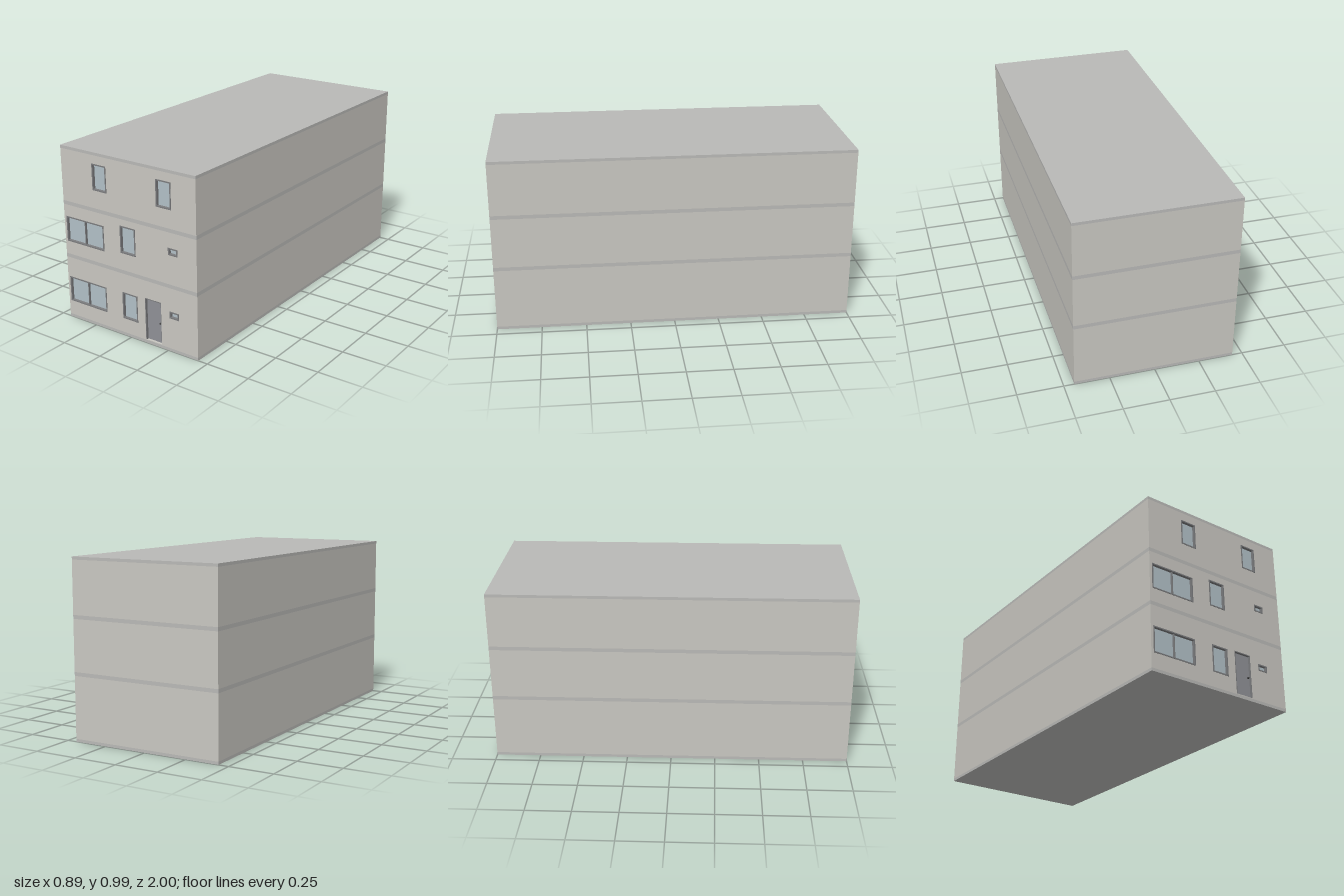
import * as THREE from 'three';

const HALF_W = 0.443, FRONT = 1, FACADE = 0.016;
const mat = (color) => new THREE.MeshStandardMaterial({ color });
const wallMat = mat(0xc9c7c1), slabMat = mat(0xb9b9b7), frameMat = mat(0x7c7d7f);
const glassMat = mat(0xb2c0c7), doorMat = mat(0x8f9196), handleMat = mat(0x444444);

// Box given by its minimum and maximum corners
function block(name, material, x0, x1, y0, y1, z0, z1) {
  const mesh = new THREE.Mesh(new THREE.BoxGeometry(x1 - x0, y1 - y0, z1 - z0), material);
  mesh.position.set((x0 + x1) / 2, (y0 + y1) / 2, (z0 + z1) / 2);
  mesh.name = name;
  return mesh;
}

function rectangle(Type, x0, x1, y0, y1) {
  return new Type([[x0, y0], [x1, y0], [x1, y1], [x0, y1]].map(([x, y]) => new THREE.Vector2(x, y)));
}

// Rectangular plate with rectangular holes, extruded from z0 to z1
function plate(name, material, outer, holes, z0, z1) {
  const shape = rectangle(THREE.Shape, ...outer);
  shape.holes = holes.map((hole) => rectangle(THREE.Path, ...hole));
  const geometry = new THREE.ExtrudeGeometry(shape, { depth: z1 - z0, bevelEnabled: false });
  const mesh = new THREE.Mesh(geometry, material);
  mesh.position.z = z0;
  mesh.name = name;
  return mesh;
}

// Slim frame around recessed glass, with a mullion between panes
function createWindow([x0, x1, y0, y1], panes) {
  const group = new THREE.Group();
  const t = 0.007, back = FRONT - FACADE;
  group.name = 'window';
  group.add(plate('windowFrame', frameMat, [x0, x1, y0, y1],
    [[x0 + t, x1 - t, y0 + t, y1 - t]], back, FRONT + 0.002));
  group.add(block('windowGlass', glassMat, x0 + t, x1 - t, y0 + t, y1 - t, back, back + 0.003));
  for (let i = 1; i < panes; i++) {
    const x = x0 + (x1 - x0) * i / panes;
    group.add(block('mullion', frameMat, x - 0.002, x + 0.002, y0 + t, y1 - t, back, FRONT));
  }
  return group;
}

// Door leaf set back in its opening, with side and top trim and a handle
function createDoor([x0, x1, y0, y1]) {
  const group = new THREE.Group();
  const t = 0.005, back = FRONT - FACADE;
  group.name = 'door';
  group.add(block('doorLeaf', doorMat, x0 + t, x1 - 0.002, y0, y1 - t, back, back + 0.003));
  group.add(block('doorJamb', frameMat, x0, x0 + t, y0, y1, back, FRONT));
  group.add(block('doorJamb', frameMat, x1 - 0.002, x1, y0, y1, back, FRONT));
  group.add(block('doorHead', frameMat, x0 + t, x1 - 0.002, y1 - t, y1, back, FRONT));
  group.add(block('doorHandle', handleMat, x1 - 0.016, x1 - 0.008, 0.13, 0.137, back + 0.003, FRONT - 0.004));
  return group;
}

export function createModel() {
  const house = new THREE.Group();
  house.name = 'house';

  // Floor slabs show as thin bands around the walls
  const slabs = [[0, 0.016], [0.359, 0.38], [0.664, 0.685], [0.976, 0.992]];
  slabs.forEach(([y0, y1], i) => {
    const name = i === slabs.length - 1 ? 'roofSlab' : 'floorSlab';
    house.add(block(name, slabMat, -HALF_W, HALF_W, y0, y1, -FRONT, FRONT));
  });

  // Openings of each storey: [x0, x1, y0, y1]
  const door = [0.101, 0.208, 0.02, 0.26];
  const storeys = [
    { double: [[-0.428, -0.165, 0.1, 0.245]], single: [[-0.052, 0.05, 0.1, 0.252], [0.264, 0.324, 0.19, 0.228]], door },
    { double: [[-0.428, -0.165, 0.455, 0.598]], single: [[-0.052, 0.05, 0.476, 0.628], [0.264, 0.324, 0.542, 0.581]] },
    { double: [], single: [[-0.227, -0.132, 0.785, 0.93], [0.195, 0.29, 0.785, 0.93]] },
  ];

  storeys.forEach((storey, i) => {
    const y0 = slabs[i][1], y1 = slabs[i + 1][0];
    const holes = [...storey.double, ...storey.single];
    if (storey.door) holes.push(storey.door);
    house.add(block('storeyWalls', wallMat, -HALF_W, HALF_W, y0, y1, -FRONT, FRONT - FACADE));
    house.add(plate('frontWall', wallMat, [-HALF_W, HALF_W, y0, y1], holes, FRONT - FACADE, FRONT));
    storey.double.forEach((opening) => house.add(createWindow(opening, 2)));
    storey.single.forEach((opening) => house.add(createWindow(opening, 1)));
    if (storey.door) house.add(createDoor(storey.door));
  });

  return house;
}
